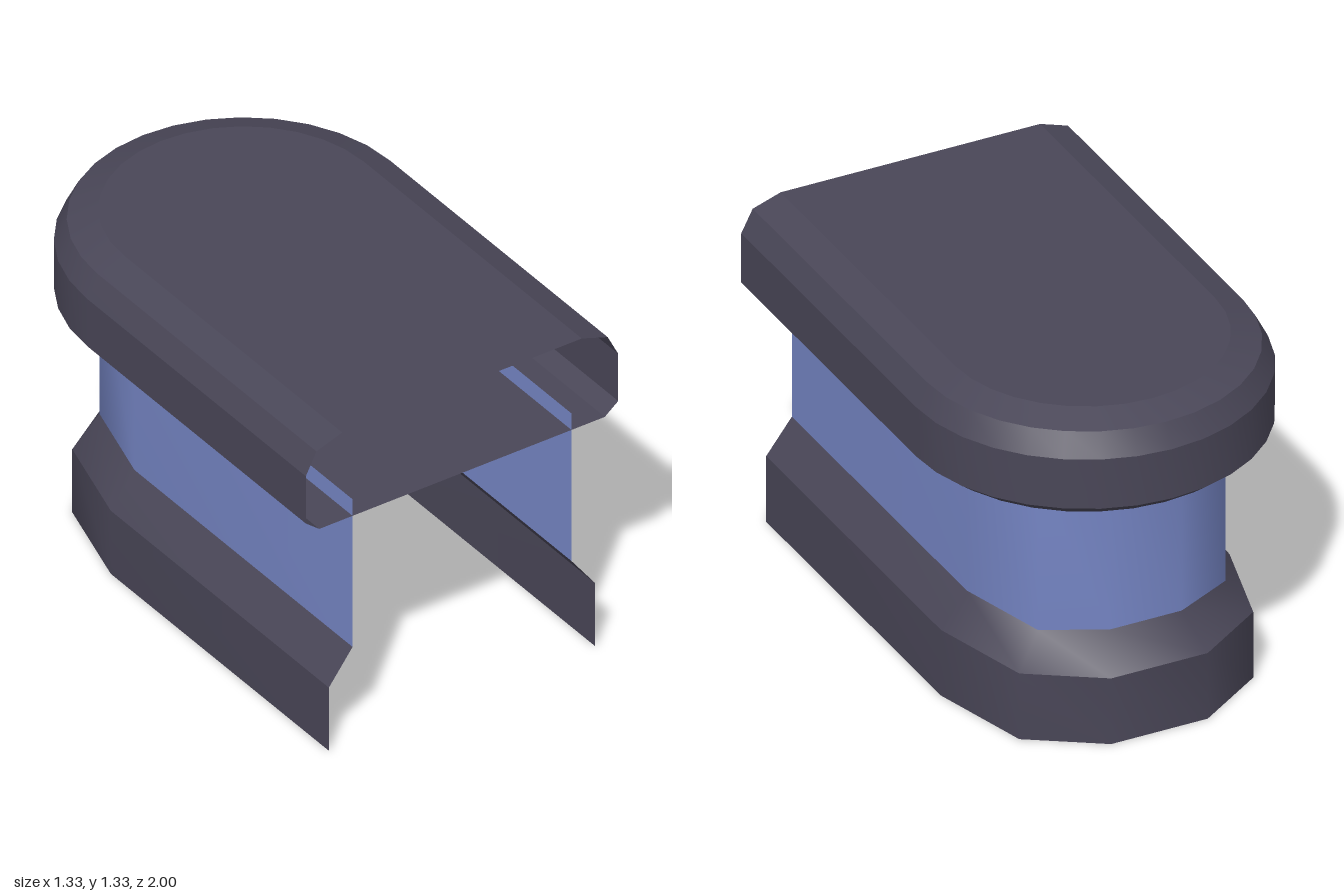
import * as THREE from 'three';

const FRONT = 1, CENTRE = -0.335;

// U-shaped outline, open at the front: straight sides plus a mirrored rear curve
// given as [x, depth behind the curve centre] points for the +x half.
function outline(half) {
  const right = half.map(([x, d]) => [x, CENTRE - d]);
  const left = right.filter(([x]) => x > 1e-6).reverse().map(([x, z]) => [-x, z]);
  const w = half[0][0];
  return [[w, FRONT], ...right, ...left, [-w, FRONT]];
}

function roundOutline(radius, segments = 16) {
  const half = [];
  for (let i = 0; i <= segments / 2; i++) {
    const a = (i / segments) * Math.PI;
    half.push([radius * Math.cos(a), radius * Math.sin(a)]);
  }
  return outline(half);
}

// Band between two outlines, smooth along its length
function band(name, low, y0, high, y1, material) {
  const pos = [], index = [];
  low.forEach(([x, z], i) => {
    pos.push(x, y0, z, high[i][0], y1, high[i][1]);
    if (i < low.length - 1) {
      const a = i * 2;
      index.push(a, a + 2, a + 1, a + 1, a + 2, a + 3);
    }
  });
  const geo = new THREE.BufferGeometry();
  geo.setAttribute('position', new THREE.Float32BufferAttribute(pos, 3));
  geo.setIndex(index);
  geo.computeVertexNormals();
  const mesh = new THREE.Mesh(geo, material);
  mesh.name = name;
  return mesh;
}

// Flat sheet filling an outline
function sheet(name, path, y, material) {
  const shape = new THREE.Shape(path.map(([x, z]) => new THREE.Vector2(x, -z)));
  const geo = new THREE.ShapeGeometry(shape).rotateX(-Math.PI / 2).translate(0, y, 0);
  const mesh = new THREE.Mesh(geo, material);
  mesh.name = name;
  return mesh;
}

export function createModel() {
  const dark = new THREE.MeshStandardMaterial({ color: 0x494657, side: THREE.DoubleSide });
  dark.name = 'dark slate';
  const blue = new THREE.MeshStandardMaterial({ color: 0x7585c4, side: THREE.DoubleSide });
  blue.name = 'wall blue';

  const model = new THREE.Group();
  model.name = 'roundedWallEnd';

  const wallPath = outline([[0.466, 0], [0.368, 0.355], [0.14, 0.466]]);
  const basePath = outline([[0.567, 0], [0.46, 0.39], [0.19, 0.567]]);

  // Plinth with sloping shoulder
  const base = new THREE.Group();
  base.name = 'base';
  base.add(band('basePlinth', basePath, 0, basePath, 0.267, dark));
  base.add(band('baseShoulder', basePath, 0.267, wallPath, 0.4, dark));

  // Thin wall, reaching a little way into the cap
  const wall = band('wall', wallPath, 0.4, wallPath, 1.025, blue);

  // Hollow cap with chamfered edges, open at the front
  const cap = new THREE.Group();
  cap.name = 'cap';
  const profile = [[0.608, 0.955], [0.665, 1.0], [0.665, 1.2], [0.62, 1.288], [0.51, 1.325]];
  const rings = profile.map(([r]) => roundOutline(r));
  const names = ['capLowerChamfer', 'capSide', 'capUpperChamfer', 'capTopBevel'];
  names.forEach((name, i) => {
    cap.add(band(name, rings[i], profile[i][1], rings[i + 1], profile[i + 1][1], dark));
  });
  cap.add(sheet('capUnderside', rings[0], profile[0][1], dark));
  cap.add(sheet('capTop', rings[4], profile[4][1], dark));

  model.add(base, wall, cap);
  return model;
}
